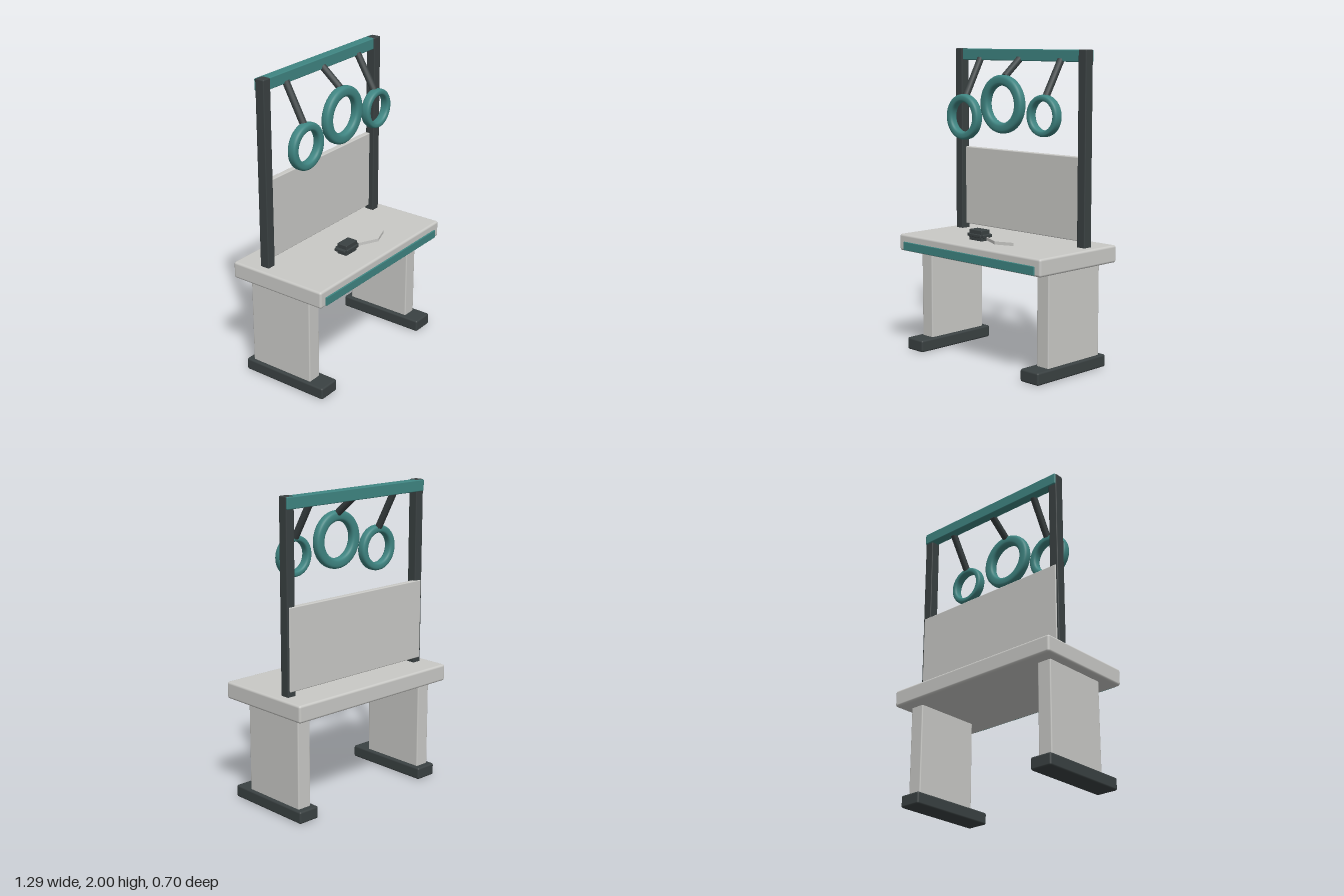
import * as THREE from 'three';
import { RoundedBoxGeometry } from 'three/addons/geometries/RoundedBoxGeometry.js';

export function createModel() {
  const model = new THREE.Group();
  model.name = 'trainingTable';

  const material = (name, color) => {
    const m = new THREE.MeshStandardMaterial({ color });
    m.name = name;
    return m;
  };
  const grey = material('lightGrey', 0xc9c9c6);
  const teal = material('teal', 0x3f8582);
  const dark = material('charcoal', 0x3a4142);

  const add = (name, geometry, mat) => {
    const mesh = new THREE.Mesh(geometry, mat);
    mesh.name = name;
    model.add(mesh);
    return mesh;
  };
  // Softly rounded box given by its limits on each axis
  const box = (name, mat, [x0, x1], [y0, y1], [z0, z1], r = 0.008) => {
    const mesh = add(name, new RoundedBoxGeometry(x1 - x0, y1 - y0, z1 - z0, 2, r), mat);
    mesh.position.set((x0 + x1) / 2, (y0 + y1) / 2, (z0 + z1) / 2);
    return mesh;
  };

  // Table
  box('tabletop', grey, [-0.645, 0.645], [0.672, 0.783], [-0.352, 0.341], 0.015);
  box('frontStrip', teal, [-0.597, 0.597], [0.68, 0.735], [0.33, 0.35], 0.003);

  // Legs, feet and posts on both sides
  for (const [side, s] of [['left', 1], ['right', -1]]) {
    const span = (a, b) => (s > 0 ? [a, b] : [-b, -a]);
    box(side + 'Leg', grey, span(0.483, 0.582), [0.06, 0.69], [-0.263, 0.2]);
    box(side + 'Foot', dark, span(0.455, 0.606), [0, 0.08], [-0.304, 0.316], 0.012);
    box(side + 'Post', dark, span(0.522, 0.585), [0.77, 2], [-0.18, -0.115], 0.006);
  }

  // Back panel and top beam
  box('backPanel', grey, [-0.572, 0.572], [0.813, 1.34], [-0.187, -0.15], 0.006);
  box('topBeam', teal, [-0.582, 0.582], [1.924, 1.998], [-0.19, -0.125], 0.006);

  // Ring: a rounded-square section swept around the z axis
  const ringZ = 0.015;
  const ringGeometry = (outer, inner) => {
    const mid = (outer + inner) / 2, half = (outer - inner) / 2;
    const soft = (v) => Math.sign(v) * Math.abs(v) ** 0.7;
    const profile = [];
    for (let i = 0; i <= 24; i++) {
      const a = (i / 24) * Math.PI * 2;
      profile.push(new THREE.Vector2(mid + half * soft(Math.cos(a)), 0.031 * soft(Math.sin(a))));
    }
    return new THREE.LatheGeometry(profile, 56).rotateX(Math.PI / 2);
  };

  // Rings on slanted hangers
  const rings = [
    ['rightRing', -0.36, 1.556, 0.15, 0.097],
    ['middleRing', 0, 1.653, 0.186, 0.118],
    ['leftRing', 0.36, 1.596, 0.13, 0.089],
  ];
  for (const [name, x, y, outer, inner] of rings) {
    add(name, ringGeometry(outer, inner), teal).position.set(x, y, ringZ);
    const from = new THREE.Vector3(x, 1.935, -0.135);
    const to = new THREE.Vector3(x, y + outer - 0.012, -0.003);
    const direction = to.clone().sub(from);
    const hanger = add(name + 'Hanger',
      new THREE.CylinderGeometry(0.023, 0.023, direction.length(), 14), dark);
    hanger.position.copy(from).add(to).multiplyScalar(0.5);
    hanger.quaternion.setFromUnitVectors(new THREE.Vector3(0, 1, 0), direction.normalize());
  }

  // Small block with a thin flange crossing it
  box('blockBody', dark, [-0.155, -0.04], [0.78, 0.852], [0.09, 0.164], 0.005);
  box('blockSideFlange', dark, [-0.177, -0.021], [0.805, 0.825], [0.087, 0.164], 0.004);
  box('blockFrontFlange', dark, [-0.155, -0.04], [0.805, 0.825], [0.076, 0.176], 0.004);

  // Kite-shaped loop lying on the tabletop, drawn as (x, -z)
  const outline = (points) => points.map(([x, z]) => new THREE.Vector2(x, -z));
  const kite = new THREE.Shape(outline([[-0.025, 0.137], [0.155, 0.121], [0.25, 0.166], [0.128, 0.211]]));
  kite.holes.push(new THREE.Path(outline([[0.002, 0.143], [0.151, 0.133], [0.225, 0.165], [0.128, 0.198]])));
  const loop = add('kiteLoop',
    new THREE.ExtrudeGeometry(kite, { depth: 0.02, bevelEnabled: false }).rotateX(-Math.PI / 2), grey);
  loop.position.y = 0.791;

  return model;
}
